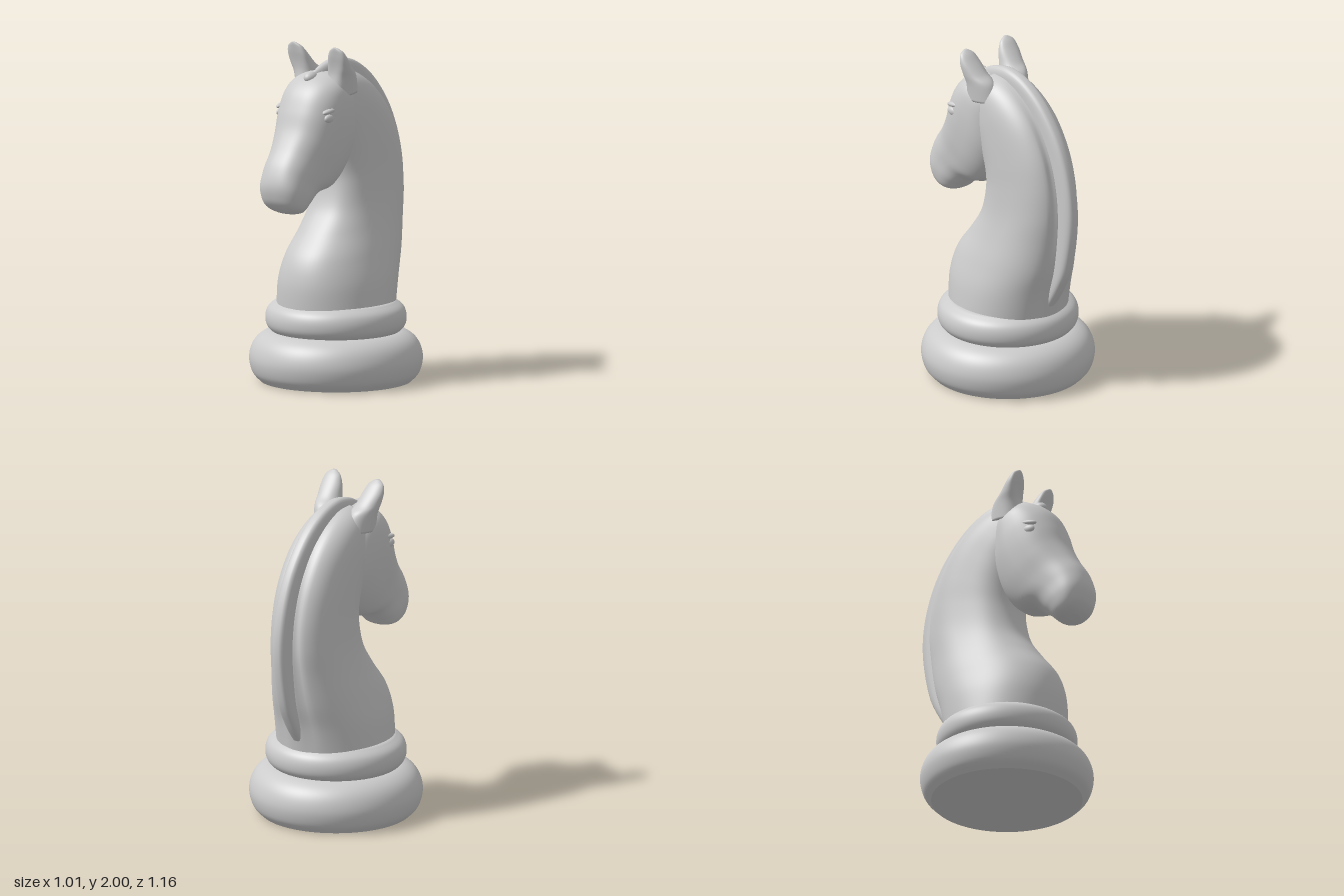
import * as THREE from 'three';

const material = new THREE.MeshStandardMaterial({ color: 0xcccccc });
const doubleSided = new THREE.MeshStandardMaterial({ color: 0xcccccc, side: THREE.DoubleSide });

function add(group, name, geometry, mat = material) {
  const mesh = new THREE.Mesh(geometry, mat);
  mesh.name = name;
  group.add(mesh);
  return mesh;
}

// Catmull-Rom interpolation of a whole row of section values
function sampleRows(rows, t) {
  const f = t * (rows.length - 1);
  const i = Math.min(Math.floor(f), rows.length - 2);
  const u = f - i;
  const at = (k) => rows[Math.max(0, Math.min(rows.length - 1, k))];
  return rows[i].map((_, c) => {
    const [a, b, d, e] = [at(i - 1)[c], at(i)[c], at(i + 1)[c], at(i + 2)[c]];
    return b + 0.5 * u * (d - a + u * (2 * a - 5 * b + 4 * d - e + u * (3 * (b - d) + e - a)));
  });
}

// Loft of superellipse sections: [front z, front y, back z, back y, half width, exponent, centre x]
function loft(rows, steps, sides, shape) {
  const positions = [];
  const index = [];
  const power = (v, n) => Math.sign(v) * Math.pow(Math.abs(v), 2 / n);
  for (let i = 0; i <= steps; i++) {
    const [zf, yf, zb, yb, w, n, cx] = sampleRows(rows, i / steps);
    for (let j = 0; j < sides; j++) {
      const a = (j / sides) * Math.PI * 2;
      let u = power(Math.cos(a), n);
      const s = power(Math.sin(a), n);
      if (shape) u = shape(u, s, i / steps);
      positions.push(cx + w * s, (yf + yb) / 2 + (u * (yf - yb)) / 2, (zf + zb) / 2 + (u * (zf - zb)) / 2);
      if (i < steps) {
        const k = (j + 1) % sides;
        const p = i * sides + j, q = i * sides + k;
        index.push(p, q, q + sides, p, q + sides, p + sides);
      }
    }
  }
  // Close both ends with fans
  for (const end of [0, steps]) {
    const [zf, yf, zb, yb, , , cx] = sampleRows(rows, end / steps);
    const centre = positions.length / 3;
    positions.push(cx, (yf + yb) / 2, (zf + zb) / 2);
    for (let j = 0; j < sides; j++) {
      const p = end * sides + j, q = end * sides + ((j + 1) % sides);
      if (end) index.push(centre, p, q);
      else index.push(centre, q, p);
    }
  }
  const g = new THREE.BufferGeometry();
  g.setAttribute('position', new THREE.Float32BufferAttribute(positions, 3));
  g.setIndex(index);
  g.computeVertexNormals();
  return g;
}

function ring(points) {
  const curve = new THREE.SplineCurve(points.map(([r, y]) => new THREE.Vector2(r, y)));
  return new THREE.LatheGeometry(curve.getPoints(36), 96);
}

export function createModel() {
  const model = new THREE.Group();
  model.name = 'chessKnight';

  // Turned base: wide foot, narrower collar and flat underside
  add(model, 'foot', ring([[0.44, 0], [0.485, 0.05], [0.505, 0.13], [0.49, 0.205], [0.45, 0.26], [0.385, 0.293], [0.3, 0.3]]));
  add(model, 'collar', ring([[0.34, 0.28], [0.38, 0.3], [0.405, 0.335], [0.41, 0.385], [0.395, 0.43], [0.36, 0.46], [0.32, 0.475], [0.2, 0.48]]));
  add(model, 'underside', new THREE.CircleGeometry(0.44, 96).rotateX(Math.PI / 2), doubleSided);

  // Arched neck
  const neck = [
    [0.36, 0.42, -0.36, 0.42, 0.335, 2, 0],
    [0.362, 0.6, -0.4, 0.6, 0.315, 2.1, 0],
    [0.32, 0.75, -0.45, 0.76, 0.278, 2.2, 0],
    [0.215, 0.89, -0.482, 0.95, 0.236, 2.3, 0],
    [0.125, 1.02, -0.492, 1.12, 0.211, 2.5, 0],
    [0.085, 1.17, -0.472, 1.3, 0.2, 2.6, 0],
    [0.09, 1.28, -0.415, 1.48, 0.197, 2.6, 0],
    [0.13, 1.4, -0.31, 1.65, 0.193, 2.6, 0],
    [0.18, 1.5, -0.18, 1.77, 0.185, 2.5, 0],
    [0.22, 1.6, -0.04, 1.84, 0.165, 2.4, 0],
    [0.24, 1.7, 0.08, 1.85, 0.12, 2.2, 0],
  ];
  // Shallow groove along each side of the mane
  const groove = (u, s, t) =>
    u < 0 ? u + 0.07 * Math.exp(-(((Math.abs(s) - 0.3) / 0.12) ** 2)) * Math.sin(Math.PI * Math.min(1, t * 1.1)) : u;
  add(model, 'neck', loft(neck, 70, 72, groove));

  // Head, from the muzzle up to the crown
  const head = [
    [0.5, 1.055, 0.45, 1.036, 0.04, 2.2, 0],
    [0.535, 1.085, 0.42, 1.034, 0.095, 2.3, 0],
    [0.565, 1.135, 0.375, 1.042, 0.13, 2.4, 0],
    [0.578, 1.22, 0.325, 1.088, 0.148, 2.5, 0],
    [0.545, 1.325, 0.25, 1.138, 0.153, 2.5, 0],
    [0.48, 1.425, 0.13, 1.163, 0.168, 2.5, 0],
    [0.425, 1.525, 0.035, 1.26, 0.192, 2.5, 0],
    [0.385, 1.635, -0.03, 1.4, 0.206, 2.5, 0],
    [0.335, 1.735, -0.04, 1.54, 0.205, 2.4, 0],
    [0.265, 1.8, -0.03, 1.67, 0.185, 2.3, 0],
    [0.18, 1.835, 0, 1.76, 0.13, 2.1, 0],
    [0.12, 1.84, 0.04, 1.8, 0.06, 2, 0],
  ];
  add(model, 'head', loft(head, 66, 64));

  // Crested mane ridge, from the foot of the neck over the top
  const mane = [
    [-0.3, 0.48, -0.36, 0.49, 0.03, 3, 0],
    [-0.36, 0.64, -0.455, 0.63, 0.043, 3, 0],
    [-0.4, 0.82, -0.532, 0.8, 0.045, 3, 0],
    [-0.42, 1.08, -0.576, 1.08, 0.045, 3, 0],
    [-0.4, 1.28, -0.552, 1.32, 0.045, 3, 0],
    [-0.32, 1.47, -0.466, 1.55, 0.045, 3, 0],
    [-0.22, 1.62, -0.325, 1.74, 0.045, 3, 0],
    [-0.1, 1.72, -0.17, 1.856, 0.045, 3, 0],
    [0, 1.75, -0.02, 1.9, 0.043, 2.8, 0],
    [0.11, 1.75, 0.11, 1.882, 0.035, 2.4, 0],
    [0.18, 1.74, 0.21, 1.835, 0.02, 2, 0],
  ];
  add(model, 'mane', loft(mane, 60, 28));

  // Forelock tuft on the brow
  const forelock = add(model, 'forelock', new THREE.SphereGeometry(1, 24, 16));
  forelock.scale.set(0.035, 0.035, 0.05);
  forelock.position.set(0, 1.81, 0.225);

  for (const side of [1, -1]) {
    const name = side > 0 ? 'left' : 'right';

    // Upright ear with a hollowed front
    const ear = [
      [0.2, 1.7, -0.03, 1.72, 0.075, 2, side * 0.115],
      [0.205, 1.8, 0.0, 1.82, 0.073, 2, side * 0.128],
      [0.21, 1.87, 0.06, 1.87, 0.071, 2.1, side * 0.142],
      [0.212, 1.93, 0.115, 1.93, 0.066, 2.1, side * 0.152],
      [0.208, 1.975, 0.155, 1.975, 0.048, 2, side * 0.157],
      [0.203, 1.998, 0.185, 1.998, 0.014, 2, side * 0.158],
    ];
    const hollow = (u, s, t) => (u > 0 ? u - 0.45 * (1 - s * s) * Math.sin(Math.PI * t) : u);
    add(model, name + 'Ear', loft(ear, 30, 36, hollow));

    // Softly raised eye with a brow above it
    const eye = add(model, name + 'Eye', new THREE.SphereGeometry(1, 20, 14));
    eye.scale.set(0.018, 0.025, 0.04);
    eye.position.set(side * 0.183, 1.595, 0.275);
    const brow = add(model, name + 'Brow', new THREE.SphereGeometry(1, 20, 14));
    brow.scale.set(0.022, 0.016, 0.06);
    brow.position.set(side * 0.177, 1.638, 0.265);
    brow.rotation.x = 0.15;
  }
  return model;
}
